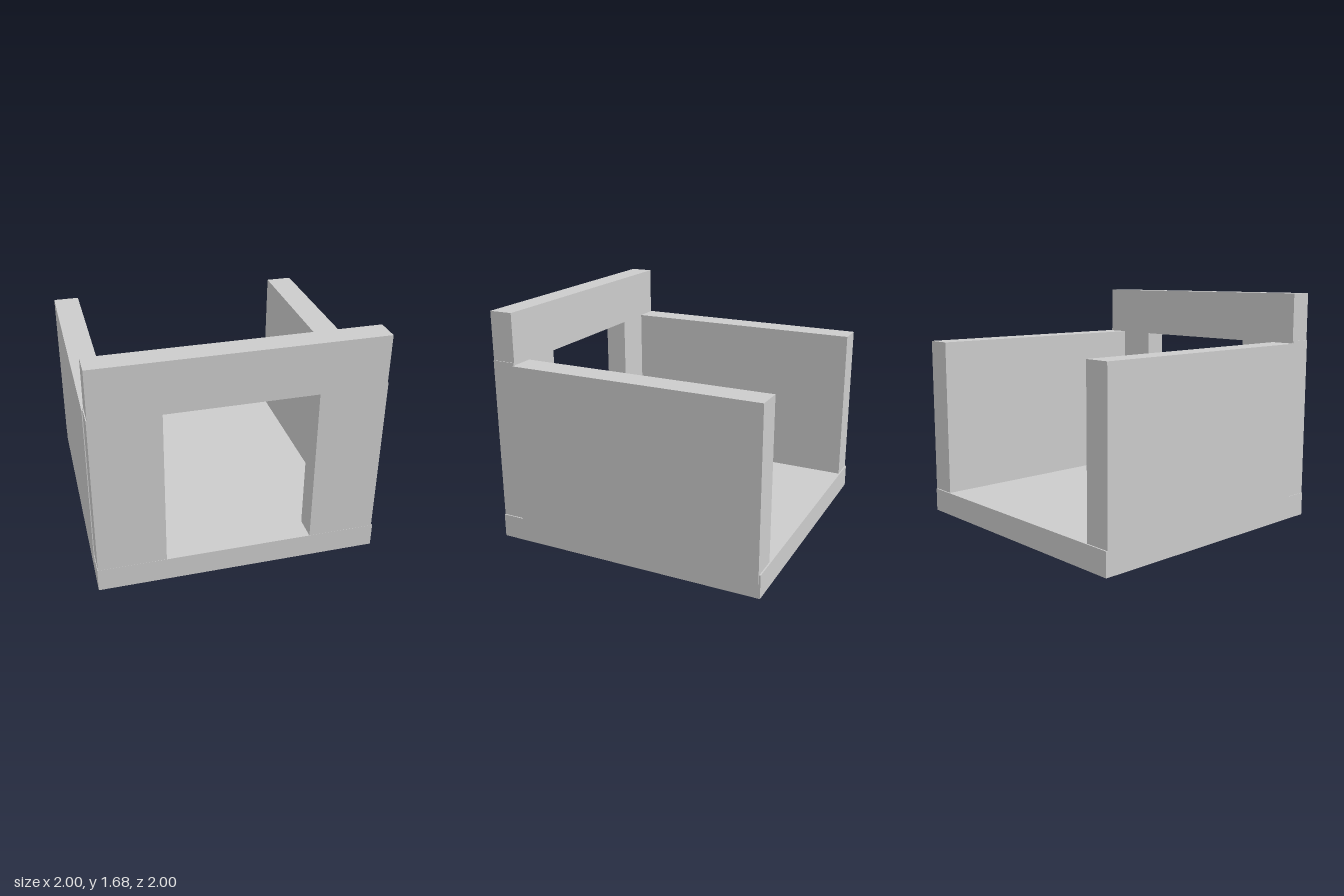
import * as THREE from 'three';

export function createModel() {
  const model = new THREE.Group();
  const material = new THREE.MeshStandardMaterial({ color: 0xcccccc, flatShading: true });

  // Box given by its extents along each axis
  function slab(name, [x0, x1], [y0, y1], [z0, z1]) {
    const mesh = new THREE.Mesh(new THREE.BoxGeometry(x1 - x0, y1 - y0, z1 - z0), material);
    mesh.position.set((x0 + x1) / 2, (y0 + y1) / 2, (z0 + z1) / 2);
    mesh.name = name;
    model.add(mesh);
  }

  slab('floor', [-0.998, 0.99], [0, 0.17], [-1, 1]);

  // Side walls, slightly proud of the floor and sunk into it
  slab('leftWall', [0.805, 1], [0.105, 1.318], [-0.99, 0.83]);
  slab('rightWall', [-1, -0.81], [0.105, 1.318], [-0.99, 0.83]);

  // Front wall: two jambs and a lintel around the doorway
  slab('leftJamb', [0.51, 0.981], [0.16, 1.335], [0.832, 0.999]);
  slab('rightJamb', [-0.994, -0.522], [0.16, 1.335], [0.832, 0.999]);
  slab('lintel', [-0.988, 0.975], [1.315, 1.68], [0.83, 1]);

  return model;
}
